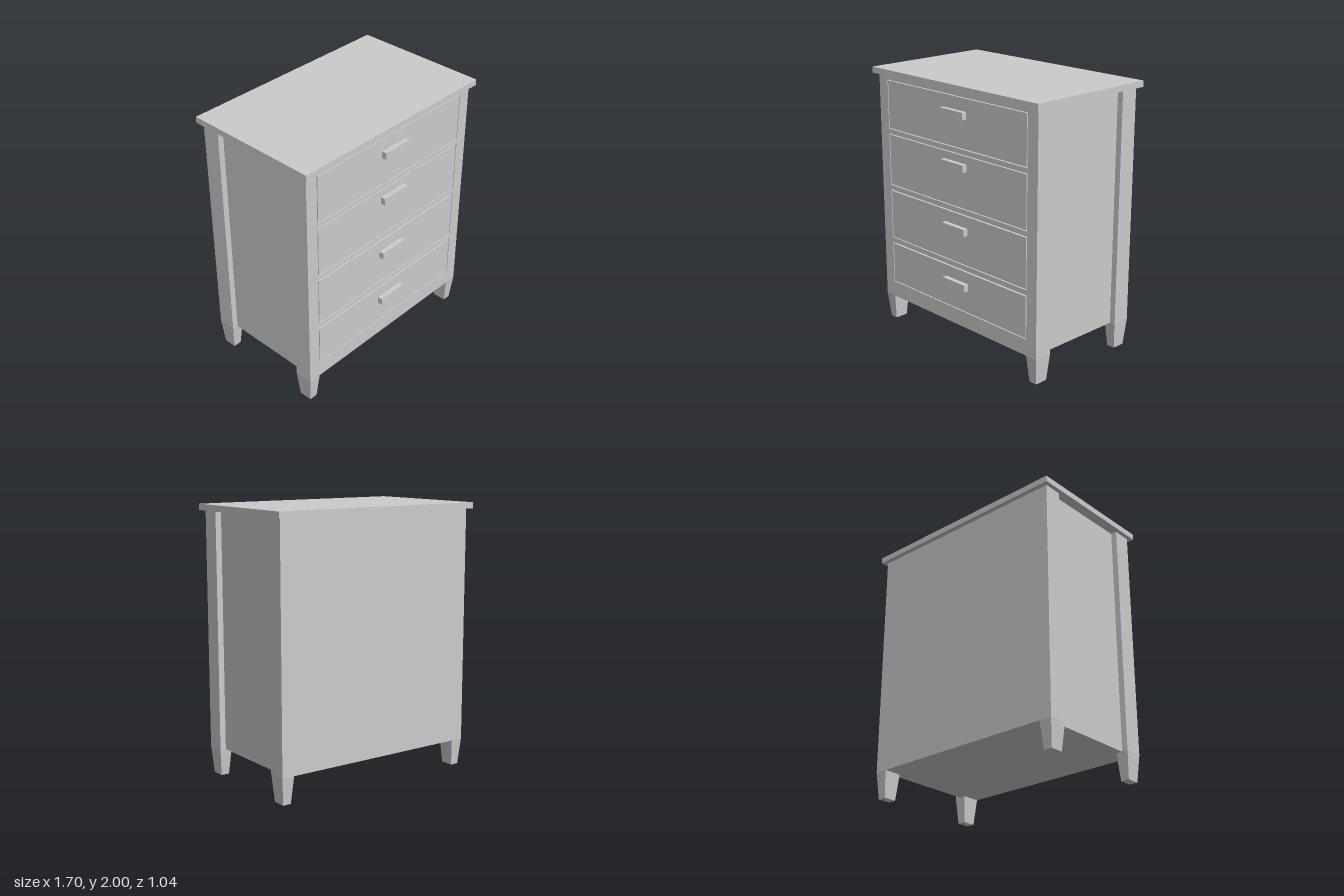
import * as THREE from 'three';

const material = new THREE.MeshStandardMaterial({ color: 0xcccccc });

// Box given by its min and max along each axis
function box(name, [x0, x1], [y0, y1], [z0, z1]) {
  const mesh = new THREE.Mesh(new THREE.BoxGeometry(x1 - x0, y1 - y0, z1 - z0), material);
  mesh.position.set((x0 + x1) / 2, (y0 + y1) / 2, (z0 + z1) / 2);
  mesh.name = name;
  return mesh;
}

// Corner post: straight beside the body, tapered to a foot below it
function cornerPost(bodyBottom, bodyTop) {
  const box = new THREE.BoxGeometry(0.095, 2, 0.14, 1, 2, 1);
  const p = box.attributes.position;
  for (let i = 0; i < p.count; i++) {
    const level = Math.round(p.getY(i)) + 1; // 0 foot, 1 body bottom, 2 body top
    p.setY(i, [0, bodyBottom, bodyTop][level]);
    if (level === 0) {
      p.setX(i, Math.sign(p.getX(i)) * 0.032);
      p.setZ(i, Math.sign(p.getZ(i)) * 0.05);
    }
  }
  const geometry = box.toNonIndexed();
  geometry.computeVertexNormals();
  return geometry;
}

export function createModel() {
  const model = new THREE.Group();
  model.name = 'chestOfDrawers';
  const bottom = 0.2, top = 1.955, front = 0.483, inner = 0.725, recess = 0.465;

  // Top board
  model.add(box('topBoard', [-0.852, 0.852], [top, 2], [-0.52, 0.52]));

  // Body with side panels set back from the posts, and a flush back
  model.add(box('carcass', [-0.775, 0.775], [bottom, top], [-recess, recess]));
  model.add(box('backPanel', [-inner, inner], [bottom, top], [-front, -recess]));

  // Four posts with tapered feet
  const postGeometry = cornerPost(bottom, top);
  for (const sx of [-1, 1]) for (const sz of [-1, 1]) {
    const post = new THREE.Mesh(postGeometry, material);
    post.position.set(sx * 0.7725, 0, sz * 0.413);
    post.name = (sz > 0 ? 'front' : 'back') + (sx > 0 ? 'Left' : 'Right') + 'Post';
    model.add(post);
  }

  // Drawer openings, bottom to top: [low, high, gap above the drawer, handle centre]
  const drawers = [
    [0.322, 0.652, 0.013, 0.525],
    [0.687, 1.077, 0.013, 0.949],
    [1.11, 1.51, 0.007, 1.42],
    [1.546, 1.918, 0.007, 1.792],
  ];
  let railBottom = bottom;
  for (const [low, high, gap, handleY] of drawers) {
    model.add(box('rail', [-inner, inner], [railBottom, low], [recess, front]));
    railBottom = high;

    const drawer = new THREE.Group();
    drawer.name = 'drawer';
    drawer.add(box('drawerFront', [-0.718, 0.718], [low + 0.007, high - gap], [recess, front]));
    drawer.add(box('handle', [-0.102, 0.132], [handleY - 0.027, handleY + 0.027], [front, 0.52]));
    model.add(drawer);
  }
  model.add(box('rail', [-inner, inner], [railBottom, top], [recess, front]));

  return model;
}
